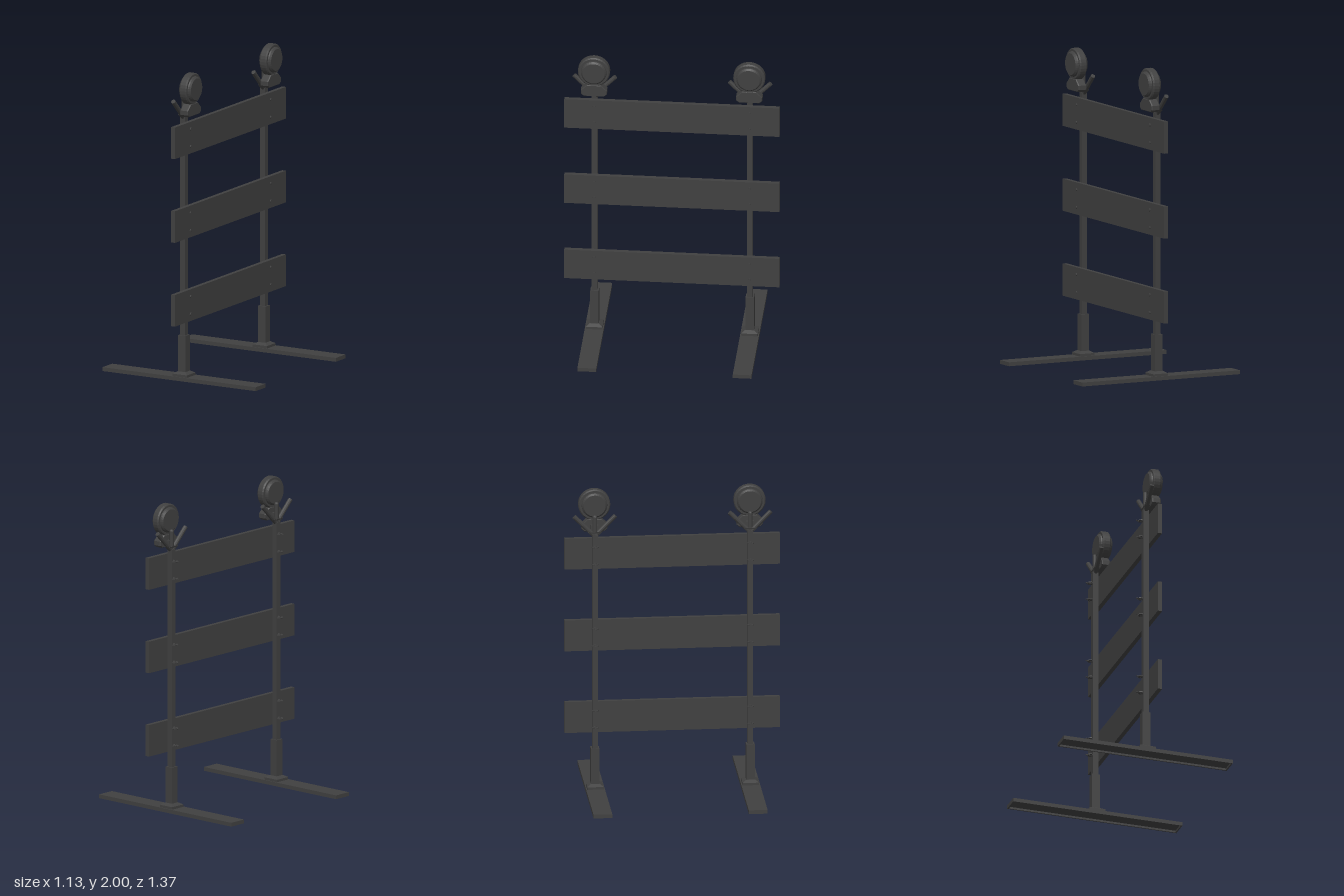
import * as THREE from 'three';

const dark = new THREE.MeshStandardMaterial({ color: 0x404040, flatShading: true });
const smooth = new THREE.MeshStandardMaterial({ color: 0x404040 });

function add(parent, name, geometry, x = 0, y = 0, z = 0, material = dark) {
  const mesh = new THREE.Mesh(geometry, material);
  mesh.name = name;
  mesh.position.set(x, y, z);
  parent.add(mesh);
  return mesh;
}

const box = (w, h, d) => new THREE.BoxGeometry(w, h, d);

// Cylinder lying along x
const rod = (r, length, sides) => new THREE.CylinderGeometry(r, r, length, sides).rotateZ(-Math.PI / 2);

// Long foot: thin plate with a rim, open underneath
function makeFoot() {
  const foot = new THREE.Group();
  foot.name = 'foot';
  add(foot, 'footPlate', box(1.134, 0.012, 0.12), 0, 0.019, 0);
  for (const s of [-1, 1]) {
    add(foot, 'footSideRim', box(1.134, 0.013, 0.008), 0, 0.0065, s * 0.056);
    add(foot, 'footEndRim', box(0.008, 0.013, 0.104), s * 0.563, 0.0065, 0);
  }
  return foot;
}

// Square post in a socket with a tapered flange
function makePost() {
  const post = new THREE.Group();
  post.name = 'post';
  add(post, 'flange', box(0.106, 0.016, 0.106), 0, 0.033, 0);
  const taper = new THREE.CylinderGeometry(0.03 * Math.SQRT2, 0.053 * Math.SQRT2, 0.014, 4).rotateY(Math.PI / 4);
  add(post, 'flangeTaper', taper, 0, 0.048, 0);
  add(post, 'socket', box(0.054, 0.24, 0.054), 0, 0.17, 0);
  add(post, 'upright', box(0.036, 1.44, 0.036), 0, 0.99, 0);
  return post;
}

// Forked holder on the post top: a middle prong and two slanted arms
function makeFork() {
  const fork = new THREE.Group();
  fork.name = 'fork';
  add(fork, 'middleProng', new THREE.CapsuleGeometry(0.015, 0.13, 3, 10), 0, 1.76, 0, smooth);
  for (const s of [-1, 1]) {
    const arm = add(fork, 'slantedArm', new THREE.CylinderGeometry(0.015, 0.015, 0.175, 10), 0, 1.771, s * 0.07);
    arm.rotation.x = s * Math.PI / 4;
  }
  const collar = new THREE.CylinderGeometry(0.048, 0.02, 0.03, 4).rotateY(Math.PI / 4).scale(0.5, 1, 1.35);
  add(fork, 'collar', collar, 0, 1.716, 0);
  return fork;
}

// Warning lamp: round housing with a domed lens each side, on a chamfered battery case
function makeLamp() {
  const lamp = new THREE.Group();
  lamp.name = 'lamp';
  const profile = [[0, -0.044], [0.07, -0.044], [0.08, -0.034], [0.082, -0.026], [0.095, -0.026], [0.102, -0.018],
    [0.102, 0.018], [0.095, 0.026], [0.082, 0.026], [0.08, 0.034], [0.07, 0.044], [0, 0.044]];
  const disc = new THREE.LatheGeometry(profile.map(([r, h]) => new THREE.Vector2(r, h)), 32).rotateZ(-Math.PI / 2);
  add(lamp, 'lampHead', disc, 0.05, 1.898, 0);

  const outline = new THREE.Shape([[-0.065, 1.725], [0.065, 1.725], [0.083, 1.74], [0.083, 1.768], [0.045, 1.805],
    [-0.045, 1.805], [-0.083, 1.768], [-0.083, 1.74]].map(([z, y]) => new THREE.Vector2(z, y)));
  const body = new THREE.ExtrudeGeometry(outline, { depth: 0.046, bevelSize: 0.004, bevelThickness: 0.006,
    bevelOffset: -0.004, bevelSegments: 1 });
  add(lamp, 'batteryCase', body.rotateY(Math.PI / 2), 0.026, 0, 0);
  add(lamp, 'lampBracket', box(0.03, 0.04, 0.05), 0.015, 1.75, 0);
  return lamp;
}

// Through bolt with a round head and a wing nut behind
function makeBolt() {
  const bolt = new THREE.Group();
  bolt.name = 'bolt';
  add(bolt, 'boltShaft', rod(0.004, 0.114, 8), -0.003, 0, 0);
  add(bolt, 'boltHead', rod(0.009, 0.008, 10), 0.052, 0, 0);
  add(bolt, 'nut', rod(0.009, 0.014, 8), -0.025, 0, 0);
  for (const s of [-1, 1]) {
    const wing = add(bolt, 'nutWing', box(0.022, 0.005, 0.012), -0.034, 0, s * 0.013);
    wing.rotation.y = -s * 0.5;
  }
  return bolt;
}

export function createModel() {
  const model = new THREE.Group();
  model.name = 'roadBarrier';
  const boards = [0.4875, 1.0325, 1.5775];

  // Cross boards on the +x face of the posts
  for (const y of boards) add(model, 'board', box(0.028, 0.206, 1.372), 0.034, y, 0);

  // Two matching stands
  for (const s of [-1, 1]) {
    const stand = new THREE.Group();
    stand.name = 'stand';
    stand.position.z = s * 0.495;
    stand.add(makeFoot(), makePost(), makeFork(), makeLamp());
    for (const y of boards) {
      for (const dy of [-0.057, 0.057]) {
        const bolt = makeBolt();
        bolt.position.y = y + dy;
        stand.add(bolt);
      }
    }
    model.add(stand);
  }
  return model;
}
